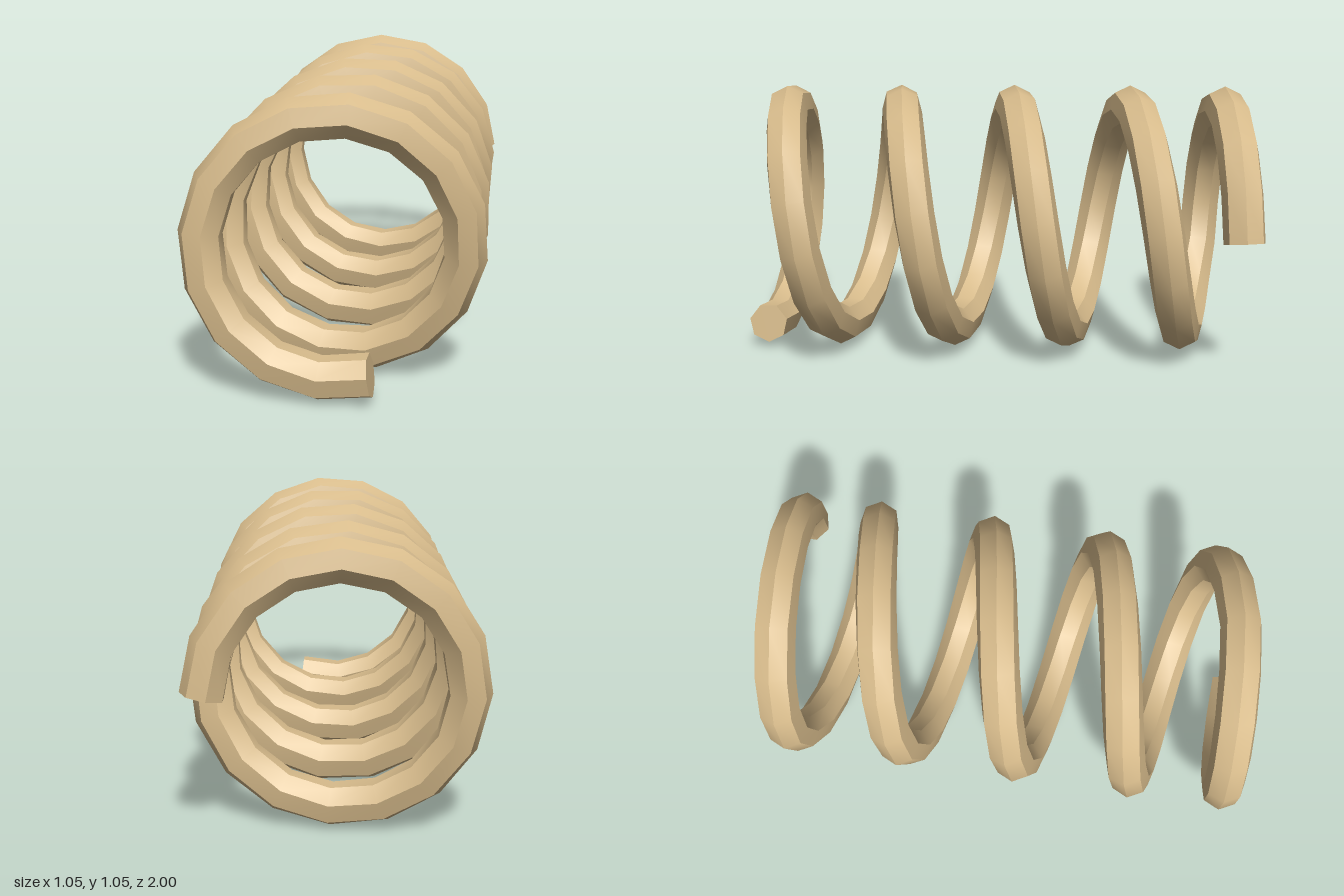
import * as THREE from 'three';
import { toCreasedNormals } from 'three/addons/utils/BufferGeometryUtils.js';

const COIL_RADIUS = 0.448, WIRE_RADIUS = 0.078, CENTER_Y = 0.527;
const TURNS = 4.8, STEPS = 76, SIDES = 7;
const PITCH = 0.455, INNER_HALF = 1.84, END_Z = 0.924; // end coils are wound tighter

// Axial position for a turn count measured from the middle of the spring
function axial(turn) {
  const a = Math.abs(turn), kink = PITCH * INNER_HALF;
  const z = a < INNER_HALF
    ? PITCH * a
    : THREE.MathUtils.mapLinear(a, INNER_HALF, TURNS / 2, kink, END_Z);
  return -Math.sign(turn) * z;
}

// Sweeps a regular polygon along the points, one corner facing away from the coil axis
function sweepWire(points) {
  const positions = [], index = [];
  const last = points.length - 1;
  points.forEach((p, i) => {
    const before = points[Math.max(i - 1, 0)], after = points[Math.min(i + 1, last)];
    const tangent = after.clone().sub(before).normalize();
    const normal = new THREE.Vector3(p.x, p.y - CENTER_Y, 0);
    normal.addScaledVector(tangent, -normal.dot(tangent)).normalize();
    const binormal = tangent.clone().cross(normal);
    for (let j = 0; j < SIDES; j++) {
      const a = (j / SIDES) * Math.PI * 2;
      const v = p.clone()
        .addScaledVector(normal, Math.cos(a) * WIRE_RADIUS)
        .addScaledVector(binormal, Math.sin(a) * WIRE_RADIUS);
      positions.push(v.x, v.y, v.z);
    }
  });
  // Side faces
  for (let i = 0; i < last; i++) {
    for (let j = 0; j < SIDES; j++) {
      const k = (j + 1) % SIDES;
      const a = i * SIDES + j, b = i * SIDES + k, c = a + SIDES, d = b + SIDES;
      index.push(a, b, c, b, d, c);
    }
  }
  // Flat end caps
  const end = last * SIDES;
  for (let j = 1; j < SIDES - 1; j++) {
    index.push(0, j + 1, j, end, end + j, end + j + 1);
  }
  const geometry = new THREE.BufferGeometry();
  geometry.setAttribute('position', new THREE.Float32BufferAttribute(positions, 3));
  geometry.setIndex(index);
  return toCreasedNormals(geometry, THREE.MathUtils.degToRad(35));
}

export function createModel() {
  const group = new THREE.Group();
  group.name = 'spring';

  // Helix centre line, from the lower front end to the back end at the side
  const points = [];
  for (let i = 0; i <= STEPS; i++) {
    const turn = (i / STEPS) * TURNS;
    const angle = -(0.2 + turn) * Math.PI * 2;
    points.push(new THREE.Vector3(
      Math.cos(angle) * COIL_RADIUS,
      CENTER_Y + Math.sin(angle) * COIL_RADIUS,
      axial(turn - TURNS / 2)
    ));
  }

  const coil = new THREE.Mesh(
    sweepWire(points),
    new THREE.MeshStandardMaterial({ color: 0xd8bc8c })
  );
  coil.name = 'coil';
  group.add(coil);
  return group;
}
